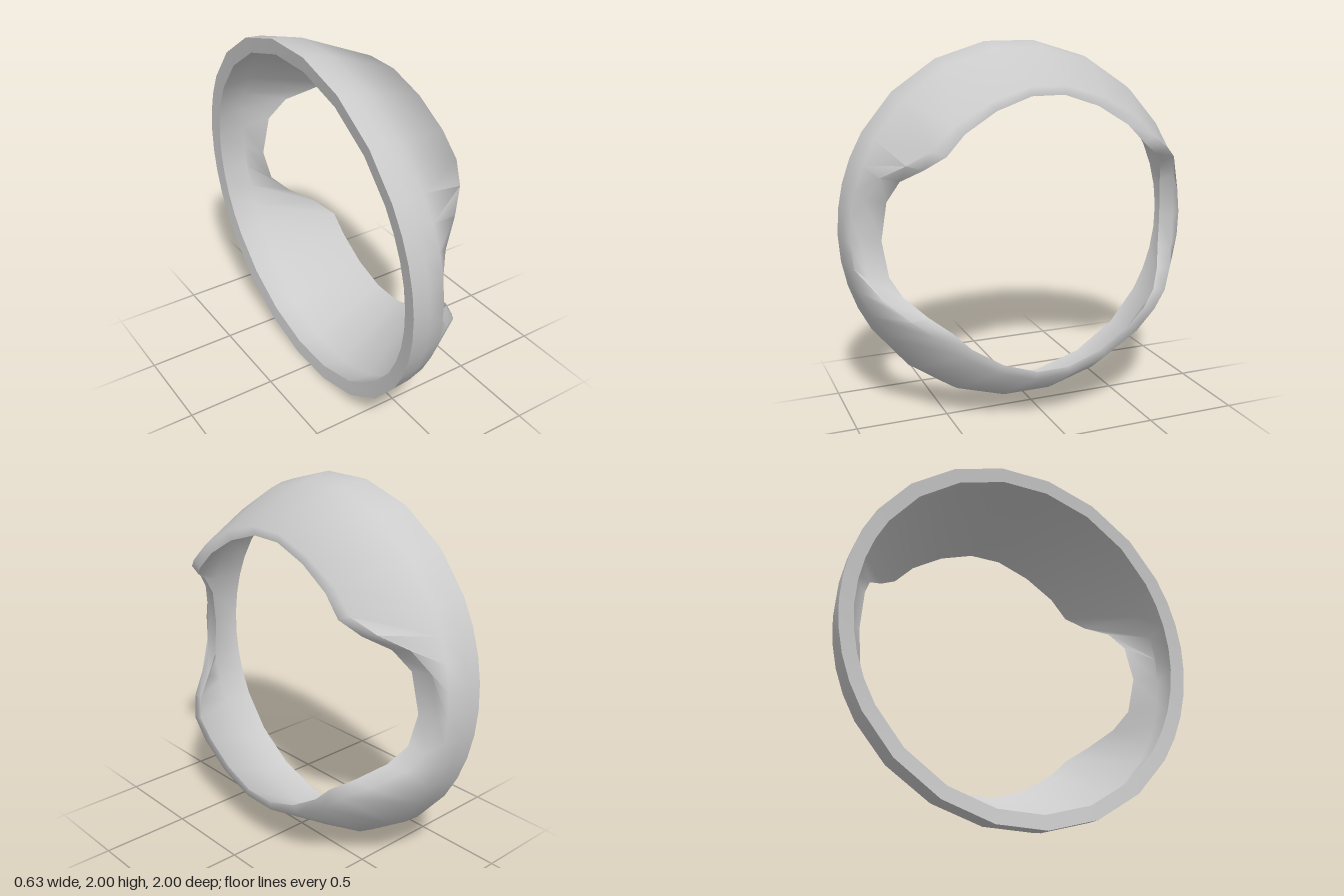
import * as THREE from 'three';
import { toCreasedNormals } from 'three/addons/utils/BufferGeometryUtils.js';

// Front edge of one quadrant, from the middle of a lobe to the narrow side:
// [rim angle in degrees, z, y in upper half, y in lower half, x upper, x lower]
const EDGE = [
  [8.2, 0.09, 0.755, 0.695, 0.24, 0.315],
  [25.3, 0.28, 0.69, 0.63, 0.245, 0.31],
  [42.3, 0.45, 0.585, 0.52, 0.25, 0.305],
  [57.5, 0.55, 0.48, 0.42, 0.26, 0.30],
  [66, 0.65, 0.41, 0.35, 0.2, 0.22],
  [74, 0.745, 0.34, 0.27, 0.09, 0.09],
  [82, 0.795, 0.22, 0.18, 0.0, 0.0],
  [90, 0.82, 0.01, 0.01, -0.035, -0.035],
];

// Closed cross-section of the shell at one column
function crossSection([deg, z, yUp, yLow, xUp, xLow], up, side) {
  const a = THREE.MathUtils.degToRad(deg);
  const s2 = Math.sin(a) ** 2;
  const rimZ = Math.sin(a) * side;
  const rimY = Math.cos(a) * 1.01 * up;
  const rimX = -0.275 - 0.045 * rimY; // the rim leans back at the top
  const edgeX = up > 0 ? xUp : xLow;
  const edgeY = up > 0 ? yUp : -yLow;
  const midX = rimX + 0.165 + 0.035 * s2;
  const ring = (x, r) => [x, 1 + rimY * r, rimZ * r];
  return [
    ring(rimX, 1), ring((rimX + midX) / 2, 0.993), ring(midX, 0.972), // outside
    [edgeX - 0.025 * s2 * s2, 1 + edgeY * 1.06, z * side * 1.13],     // front lip
    [edgeX, 1 + edgeY, z * side],
    ring(midX - 0.02, 0.942), ring(rimX + 0.01, 0.92),                // inside, turned in at the rim
  ];
}

// Surface through closed cross-sections that run around in a loop
function loopSurface(sections) {
  const rows = sections[0].length, cols = sections.length;
  const index = [];
  for (let i = 0; i < cols; i++) {
    for (let j = 0; j < rows; j++) {
      const n = (i + 1) % cols, k = (j + 1) % rows;
      const a = i * rows + j, b = n * rows + j, c = n * rows + k, d = i * rows + k;
      index.push(a, b, c, a, c, d);
    }
  }
  const geometry = new THREE.BufferGeometry();
  geometry.setAttribute('position', new THREE.Float32BufferAttribute(sections.flat(2), 3));
  geometry.setIndex(index);
  return toCreasedNormals(geometry, 1.4);
}

export function createModel() {
  const group = new THREE.Group();
  group.name = 'ringShell';

  // Mirror the quadrant around the full ring, sharing the side columns
  const back = EDGE.slice(0, -1).reverse();
  const sections = [
    ...EDGE.map((e) => crossSection(e, 1, 1)),
    ...back.map((e) => crossSection(e, -1, 1)),
    ...EDGE.map((e) => crossSection(e, -1, -1)),
    ...back.map((e) => crossSection(e, 1, -1)),
  ];

  const shell = new THREE.Mesh(
    loopSurface(sections),
    new THREE.MeshStandardMaterial({ color: 0xcccccc })
  );
  shell.name = 'lobedCollar';
  group.add(shell);
  return group;
}
